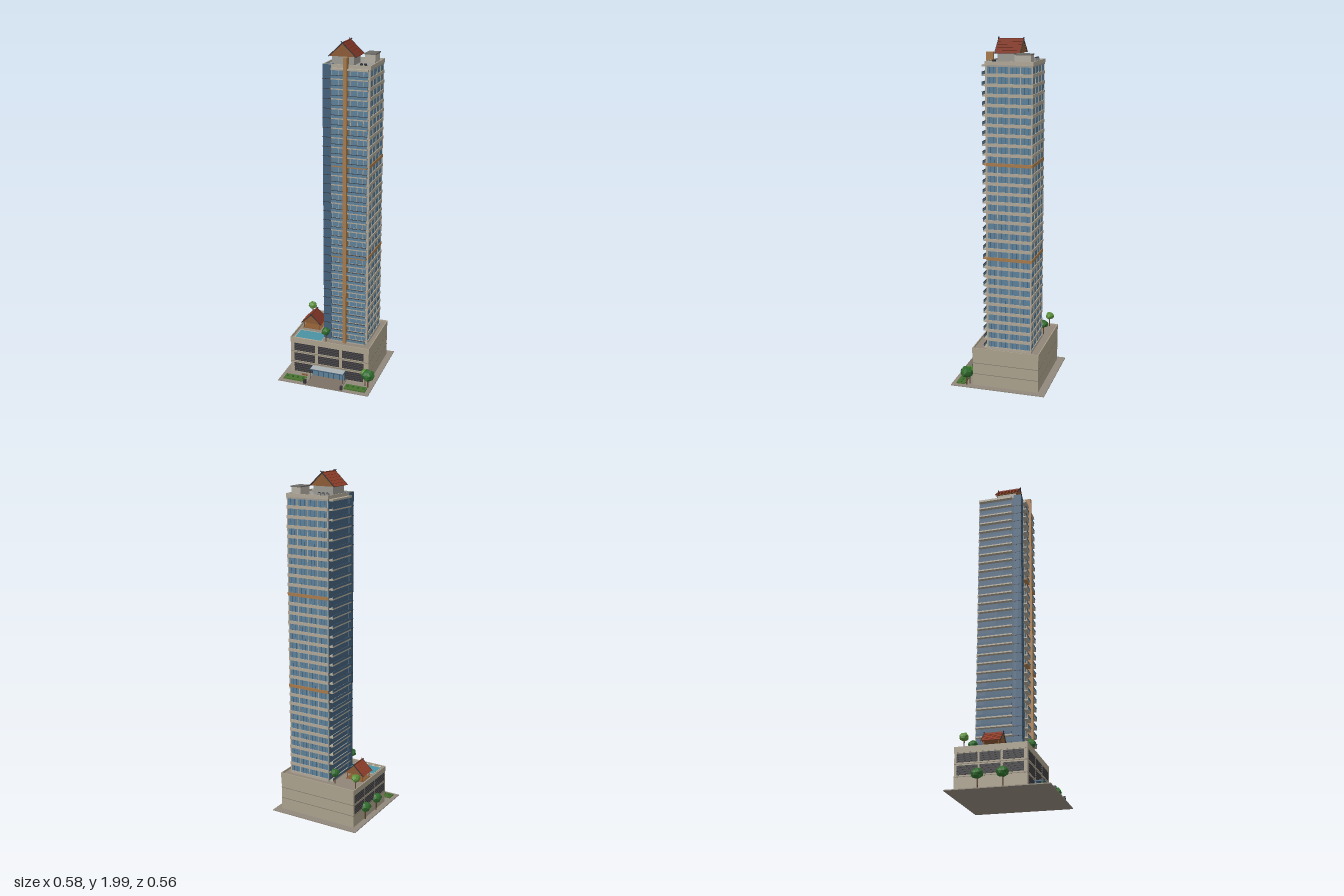
import * as THREE from 'three';

const mats = {};
const mat = (c) => (mats[c] ??= new THREE.MeshStandardMaterial({ color: c, flatShading: true }));

const C = {
  paving: 0x91887b, drive: 0x7b7165, wall: 0xaaa08c, seam: 0x7d7567, deck: 0x8f8678, glass: 0x5b8099,
  darkGlass: 0x43607a, band: 0xaea696, wood: 0xa6794a, roof: 0x9a9892, metal: 0x8a8a8a, dark: 0x34343a,
  louver: 0x4c4846, tileA: 0x8c3d28, tileB: 0x7a3322, timber: 0x8a5a34, water: 0x4a93a3, stone: 0xb2aca0,
  leaf: 0x2f6a2c, leafLight: 0x5b8f3a, grass: 0x48702e, trunk: 0x5d4630,
};

function add(parent, name, geo, color) {
  const m = new THREE.Mesh(geo, mat(color));
  m.name = name;
  parent.add(m);
  return m;
}

// Box given by its extents
function box(parent, name, x0, x1, y0, y1, z0, z1, color) {
  const m = add(parent, name, new THREE.BoxGeometry(x1 - x0, y1 - y0, z1 - z0), color);
  m.position.set((x0 + x1) / 2, (y0 + y1) / 2, (z0 + z1) / 2);
  return m;
}

function cyl(parent, name, x, y0, y1, z, r, color, sides = 8) {
  const m = add(parent, name, new THREE.CylinderGeometry(r, r, y1 - y0, sides), color);
  m.position.set(x, (y0 + y1) / 2, z);
  return m;
}

// Four low walls around a rectangle
function parapet(parent, name, x0, x1, y0, y1, z0, z1, t, color) {
  box(parent, name, x0, x1, y0, y1, z0, z0 + t, color);
  box(parent, name, x0, x1, y0, y1, z1 - t, z1, color);
  box(parent, name, x0, x0 + t, y0, y1, z0 + t, z1 - t, color);
  box(parent, name, x1 - t, x1, y0, y1, z0 + t, z1 - t, color);
}

function group(parent, name) {
  const g = new THREE.Group();
  g.name = name;
  parent.add(g);
  return g;
}

// Gable roof with its ridge along z, stepped tile rows and crossed finials
function gableRoof(parent, x0, x1, y0, y1, z0, z1) {
  const g = group(parent, 'gableRoof');
  const w = (x1 - x0) / 2, h = y1 - y0, depth = z1 - z0, rows = 5;
  g.position.set((x0 + x1) / 2, y0, (z0 + z1) / 2);
  const tri = new THREE.Shape([new THREE.Vector2(-w * 0.94, 0), new THREE.Vector2(w * 0.94, 0), new THREE.Vector2(0, h * 0.94)]);
  const body = add(g, 'gable', new THREE.ExtrudeGeometry(tri, { depth: depth * 0.94, bevelEnabled: false }), C.timber);
  body.position.z = -depth * 0.47;
  const len = Math.hypot(w, h), slope = Math.atan2(h, w);
  for (const s of [-1, 1]) {
    for (let i = 0; i < rows; i++) {
      const t = (i + 0.5) / rows;
      const row = add(g, 'tileRow', new THREE.BoxGeometry(len / rows * 1.12, 0.004, depth), s < 0 ? C.tileA : C.tileB);
      row.position.set(s * w * (1 - t), h * t, 0);
      row.rotation.z = -s * (slope - 0.1);
    }
    for (const e of [-1, 1]) {
      const board = add(g, 'bargeBoard', new THREE.BoxGeometry(len * 1.14, 0.005, 0.003), C.dark);
      board.position.set(s * w * 0.46, h * 0.55, e * depth / 2);
      board.rotation.z = -s * slope;
    }
  }
  box(g, 'ridge', -0.003, 0.003, h - 0.002, h + 0.004, -depth / 2, depth / 2, C.tileB);
}

function tree(parent, x, y, z, h, r, color) {
  const g = group(parent, 'tree');
  g.position.set(x, y, z);
  cyl(g, 'trunk', 0, 0, h, 0, r * 0.12, C.trunk, 6);
  const crown = add(g, 'crown', new THREE.IcosahedronGeometry(r, 1), color);
  // Uneven low-poly foliage
  const p = crown.geometry.attributes.position;
  for (let i = 0; i < p.count; i++) {
    const a = p.getX(i) / r, b = p.getY(i) / r, c = p.getZ(i) / r;
    const k = 1 + 0.12 * Math.sin(5 * a + 3 * b + 7 * c + 40 * x);
    p.setXYZ(i, a * r * k, b * r * k * 0.9, c * r * k);
  }
  crown.geometry.computeVertexNormals();
  crown.position.y = h;
}

function buildSite(root) {
  const g = group(root, 'site');
  box(g, 'groundSlab', -0.283, 0.277, 0, 0.005, -0.28, 0.28, C.paving);
  box(g, 'driveway', -0.11, 0.107, 0.004, 0.0065, 0.157, 0.279, C.drive);
  for (const [x0, x1] of [[-0.258, -0.127], [0.12, 0.25]]) {
    box(g, 'plantingBed', x0, x1, 0.004, 0.012, 0.203, 0.255, C.grass);
    for (let i = 0; i < 4; i++) {
      const shrub = add(g, 'shrub', new THREE.IcosahedronGeometry(0.008, 0), C.leaf);
      shrub.position.set(x0 + 0.016 + i * 0.033, 0.017, 0.229);
    }
  }
  for (const x of [-0.118, 0.11]) {
    box(g, 'gatePost', x - 0.007, x + 0.007, 0.005, 0.03, 0.259, 0.273, C.dark);
    box(g, 'gateArm', x - 0.001, x + 0.001, 0.022, 0.025, 0.235, 0.262, C.stone);
  }
  for (const x of [-0.162, -0.15, -0.137]) cyl(g, 'planter', x, 0.005, 0.016, 0.182, 0.005, C.timber);
  tree(g, -0.256, 0.005, -0.107, 0.08, 0.032, C.leaf);
  tree(g, -0.256, 0.005, 0.028, 0.08, 0.032, C.leaf);
  tree(g, 0.25, 0.005, 0.19, 0.08, 0.037, C.leaf);
  tree(g, 0.228, 0.005, 0.178, 0.085, 0.027, C.leafLight);
}

function buildPodium(root) {
  const g = group(root, 'podium');
  box(g, 'podiumBody', -0.248, 0.241, 0.005, 0.224, -0.236, 0.155, C.wall);
  box(g, 'deck', -0.246, 0.239, 0.224, 0.226, -0.234, 0.153, C.deck);
  parapet(g, 'parapet', -0.25, 0.243, 0.205, 0.237, -0.238, 0.157, 0.005, C.wall);
  for (const y of [0.075, 0.142]) box(g, 'wallSeam', -0.249, 0.242, y, y + 0.003, -0.237, 0.156, C.seam);
  // Louvred openings on the front and left side
  for (const [y0, y1] of [[0.012, 0.068], [0.085, 0.135], [0.152, 0.2]]) {
    for (const x0 of [-0.225, -0.074, 0.078]) {
      box(g, 'opening', x0, x0 + 0.132, y0, y1, 0.15, 0.1565, C.dark);
      for (let i = 0; i < 4; i++) {
        const y = y0 + (i + 0.6) * (y1 - y0) / 4.4;
        box(g, 'louver', x0, x0 + 0.132, y, y + 0.003, 0.155, 0.159, C.louver);
      }
    }
    if (y0 < 0.05) continue;
    for (const z0 of [-0.222, -0.098, 0.026]) {
      box(g, 'opening', -0.2495, -0.24, y0, y1, z0, z0 + 0.112, C.dark);
      for (let i = 0; i < 4; i++) {
        const y = y0 + (i + 0.6) * (y1 - y0) / 4.4;
        box(g, 'louver', -0.252, -0.248, y, y + 0.003, z0, z0 + 0.112, C.louver);
      }
    }
  }
  // Entrance
  box(g, 'lobbyGlass', -0.105, 0.098, 0.005, 0.064, 0.155, 0.164, C.glass);
  for (let i = 0; i < 7; i++) {
    const x = -0.105 + i * 0.0335;
    box(g, 'lobbyMullion', x, x + 0.002, 0.005, 0.064, 0.163, 0.166, C.dark);
  }
  box(g, 'canopyFrame', -0.108, 0.102, 0.064, 0.07, 0.157, 0.208, C.darkGlass);
  box(g, 'canopyGlass', -0.105, 0.099, 0.07, 0.0712, 0.159, 0.205, 0xa9b2b6);
  for (const x of [-0.104, 0.098]) cyl(g, 'canopyPost', x, 0.005, 0.065, 0.203, 0.002, C.dark);
}

function buildDeck(root) {
  const g = group(root, 'poolDeck');
  box(g, 'poolEdge', -0.232, -0.055, 0.225, 0.229, 0.034, 0.14, C.stone);
  box(g, 'poolWater', -0.226, -0.061, 0.228, 0.23, 0.041, 0.133, C.water);
  for (const x of [-0.217, -0.173, -0.13, -0.087]) {
    box(g, 'lounger', x - 0.008, x + 0.008, 0.227, 0.231, 0.141, 0.151, 0xd0ccc0);
  }
  for (const x of [-0.222, -0.122]) for (const z of [-0.085, -0.006]) cyl(g, 'pavilionPost', x, 0.226, 0.268, z, 0.003, C.timber);
  box(g, 'pavilionFloor', -0.228, -0.116, 0.226, 0.229, -0.092, 0, C.timber);
  gableRoof(g, -0.234, -0.11, 0.264, 0.322, -0.098, 0.008);
  tree(g, -0.235, 0.226, -0.188, 0.066, 0.025, C.leafLight);
  tree(g, -0.095, 0.226, -0.183, 0.066, 0.026, C.leaf);
  tree(g, -0.035, 0.226, 0.123, 0.066, 0.026, C.leaf);
}

function buildTower(root) {
  const g = group(root, 'tower');
  const floors = 30, base = 0.224, pitch = 0.0541, top = 1.862;
  box(g, 'glassCore', -0.054, 0.204, base, top, -0.182, 0.074, C.glass);
  box(g, 'leftWall', -0.056, -0.05, base, top, -0.18, 0.036, C.darkGlass);
  box(g, 'cornerBay', -0.062, -0.014, base, 1.872, 0.034, 0.081, C.darkGlass);
  // Piers and mullions on the right, back and front
  for (let i = 0; i <= 4; i++) {
    const z = -0.185 + i * 0.0645, x = -0.054 + i * 0.064, w = 0.005;
    box(g, 'sidePier', 0.2, 0.207, base, top, z, z + w, C.band);
    box(g, 'backPier', x, x + w, base, top, -0.185, -0.178, C.band);
    if (i === 4) continue;
    for (const k of [0.33, 0.67]) {
      box(g, 'sideMullion', 0.2, 0.2055, base, top, z + 0.066 * k, z + 0.066 * k + 0.002, C.darkGlass);
      box(g, 'backMullion', x + 0.066 * k, x + 0.066 * k + 0.002, base, top, -0.1835, -0.178, C.darkGlass);
    }
  }
  for (const x of [-0.012, 0.028, 0.096, 0.136, 0.17]) box(g, 'frontMullion', x, x + 0.003, base, top, 0.07, 0.077, C.band);
  box(g, 'frontCornerPier', 0.197, 0.208, base, top, 0.068, 0.079, C.band);

  for (let i = 0; i < floors; i++) {
    const y = base + i * pitch;
    const belt = i > 0 && i % 10 === 0;
    box(g, belt ? 'woodBelt' : 'spandrel', -0.053, 0.209, y, y + 0.018, -0.187, 0.077, belt ? C.wood : C.band);
    box(g, 'cornerLine', -0.063, -0.013, y, y + 0.003, 0.033, 0.082, C.dark);
    // Left balcony
    box(g, 'leftBalconySlab', -0.079, -0.05, y + 0.002, y + 0.01, -0.178, 0.028, C.band);
    box(g, 'leftBalconyRail', -0.079, -0.077, y + 0.01, y + 0.024, -0.177, 0.027, C.darkGlass);
    // Front balconies on both sides of the fin
    for (const [x0, x1] of [[-0.008, 0.064], [0.086, 0.2]]) {
      box(g, 'frontBalconySlab', x0, x1, y + 0.002, y + 0.009, 0.07, 0.1, belt ? C.wood : C.band);
      box(g, 'frontBalconyRail', x0, x1, y + 0.009, y + 0.024, 0.098, 0.1, C.glass);
      box(g, 'handrail', x0, x1, y + 0.024, y + 0.026, 0.097, 0.101, C.dark);
    }
  }
  box(g, 'fin', 0.065, 0.085, base, 1.915, 0.072, 0.112, C.wood);
  box(g, 'roofSlab', -0.055, 0.208, 1.846, 1.864, -0.186, 0.078, C.roof);
  box(g, 'leftBalconyCover', -0.08, -0.05, 1.846, 1.856, -0.178, 0.028, C.band);
  box(g, 'frontBalconyCover', -0.008, 0.2, 1.846, 1.856, 0.07, 0.101, C.band);
  parapet(g, 'roofParapet', -0.057, 0.21, 1.855, 1.875, -0.188, 0.08, 0.005, C.band);
}

function buildRoof(root) {
  const g = group(root, 'rooftop');
  box(g, 'penthouse', -0.022, 0.102, 1.862, 1.916, -0.078, 0.04, C.roof);
  gableRoof(g, -0.036, 0.118, 1.912, 1.984, -0.09, 0.052);
  box(g, 'plantRoom', 0.126, 0.186, 1.862, 1.912, -0.17, -0.08, C.stone);
  box(g, 'plantRoomRoof', 0.124, 0.19, 1.908, 1.915, -0.172, -0.078, 0x6e6c69);
  for (const x of [-0.03, -0.006, 0.019]) {
    box(g, 'coolingUnit', x - 0.009, x + 0.009, 1.862, 1.882, -0.16, -0.142, C.metal);
    cyl(g, 'fan', x, 1.882, 1.886, -0.151, 0.007, C.dark, 10);
  }
  box(g, 'fanPlinth', 0.137, 0.178, 1.862, 1.87, 0.029, 0.056, C.metal);
  for (const x of [0.147, 0.168]) cyl(g, 'fan', x, 1.87, 1.88, 0.043, 0.008, C.dark, 10);
}

export function createModel() {
  const root = new THREE.Group();
  root.name = 'highRise';
  for (const build of [buildSite, buildPodium, buildDeck, buildTower, buildRoof]) build(root);
  return root;
}
